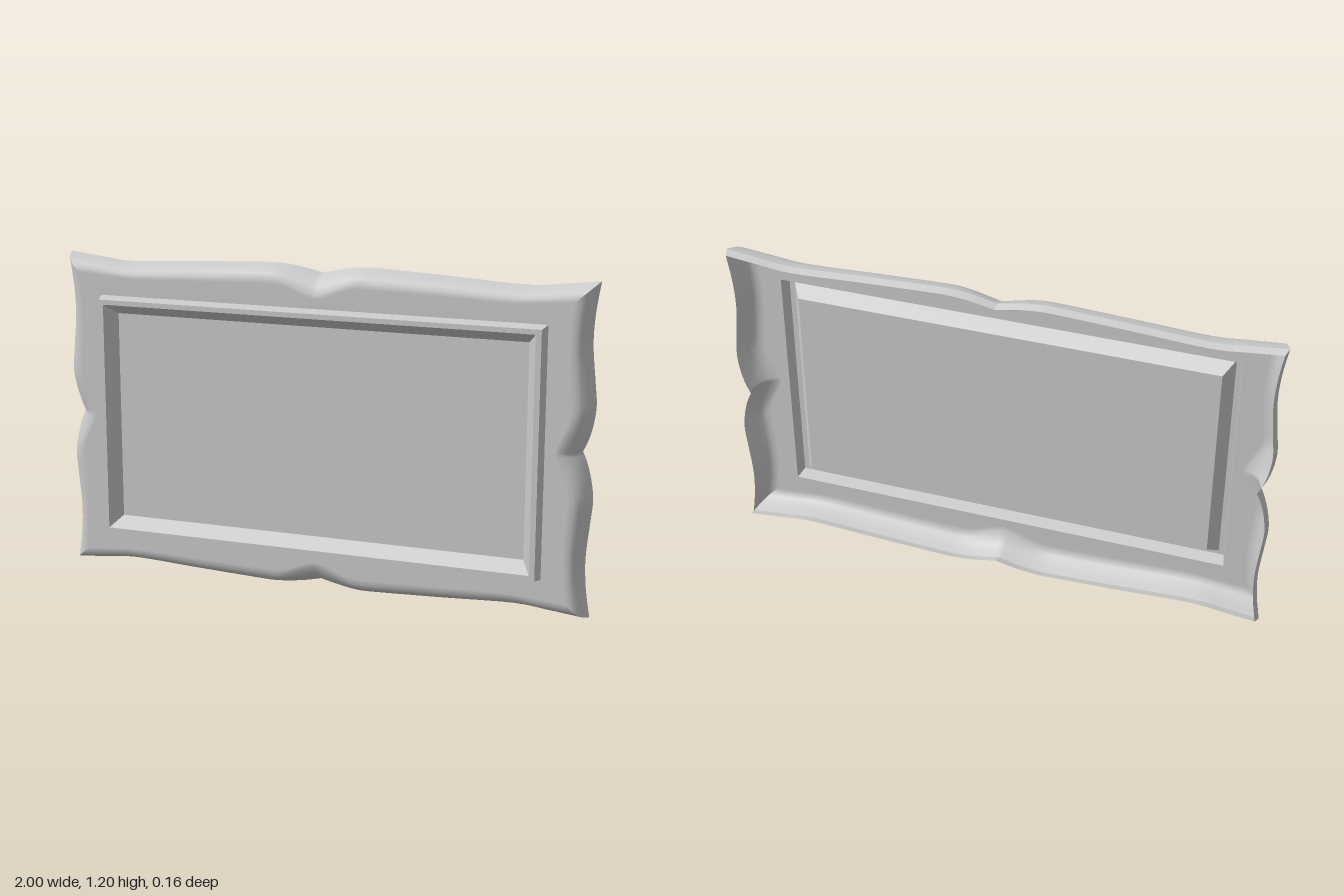
import * as THREE from 'three';

const CENTRE_Y = 0.598;
const smooth = new THREE.MeshStandardMaterial({ color: 0xcccccc, side: THREE.DoubleSide });
const flat = new THREE.MeshStandardMaterial({ color: 0xcccccc, side: THREE.DoubleSide, flatShading: true });

// Scalloped edge, from the middle notch out to the corner: [along, outward]
const LONG_EDGE = [[0, 0.57], [0.08, 0.588], [0.16, 0.597], [0.24, 0.596], [0.5, 0.584], [0.75, 0.571], [0.88, 0.583], [1, 0.597]];
const SHORT_EDGE = [[0, 0.955], [0.045, 0.975], [0.1, 0.99], [0.17, 0.998], [0.25, 0.991], [0.38, 0.979], [0.49, 0.984], [0.597, 1]];

// Full edge from one corner to the other, notch in the middle
function fullEdge(points) {
  const half = new THREE.SplineCurve(points.map(p => new THREE.Vector2(...p))).getPoints(28);
  const mirrored = half.slice(1).reverse().map(p => new THREE.Vector2(-p.x, p.y));
  return [...mirrored, ...half];
}

// Turns (along, outward) into x, y for the top, right, bottom and left sides
const turn = [
  (a, o) => [a, o],
  (a, o) => [o, -a],
  (a, o) => [-a, -o],
  (a, o) => [-o, a],
];

// Surface through rows of [along, outward, z] points
function surface(rows, side) {
  const n = rows[0].length, pos = [], index = [];
  for (const row of rows) for (const [a, o, z] of row) pos.push(...turn[side](a, o), z);
  for (let j = 0; j < rows.length - 1; j++) {
    for (let i = 0; i < n - 1; i++) {
      const p = j * n + i;
      index.push(p, p + n, p + 1, p + 1, p + n, p + n + 1);
    }
  }
  const geo = new THREE.BufferGeometry();
  geo.setAttribute('position', new THREE.Float32BufferAttribute(pos, 3));
  geo.setIndex(index);
  geo.computeVertexNormals();
  return geo;
}

function add(parent, name, geo, material) {
  const mesh = new THREE.Mesh(geo, material);
  mesh.name = name;
  parent.add(mesh);
  return mesh;
}

export function createModel() {
  const model = new THREE.Group();
  model.name = 'pictureFrame';
  const body = new THREE.Group();
  body.name = 'frameBody';
  body.position.y = CENTRE_Y;
  model.add(body);

  // Moulding profile: share of the way to the inner lip, depth, extra pull at the notch
  const faceProfile = [[0, -0.05, 0], [0.05, -0.024, 0.02], [0.11, 0.001, 0.07], [0.2, 0.019, 0.16], [0.31, 0.03, 0.27], [0.45, 0.031, 0.25], [1, 0.03, 0]];
  const rimProfile = [[0.06, -0.08, 0], [0, -0.05, 0]];
  // Raised lip: half width, half height, z
  const lipProfile = [[0.84, 0.452, 0.03], [0.83, 0.443, 0.08], [0.81, 0.425, 0.08], [0.775, 0.387, 0.025]];

  for (let side = 0; side < 4; side++) {
    const long = side % 2 === 0;
    const edge = fullEdge(long ? LONG_EDGE : SHORT_EDGE);
    const [innerA, innerO] = long ? [0.84, 0.452] : [0.452, 0.84];
    const end = edge[edge.length - 1].x;

    const sweep = (profile, points) => profile.map(([t, z, pull]) => points.map(p => {
      const notch = Math.max(0, 1 - Math.abs(p.x) / 0.17);
      const s = t + pull * notch * notch * (3 - 2 * notch);
      return [
        THREE.MathUtils.lerp(p.x, p.x / end * innerA, s),
        THREE.MathUtils.lerp(p.y, innerO, s),
        z,
      ];
    }));

    // Curved moulding, hollow behind
    add(body, 'moulding', surface(sweep(faceProfile, edge), side), smooth);

    // Back rim in two halves, creased at the notch
    const mid = (edge.length - 1) / 2;
    for (const part of [edge.slice(0, mid + 1), edge.slice(mid)]) {
      add(body, 'rim', surface(sweep(rimProfile, part), side), smooth);
    }

    // Raised lip with sloping inner wall
    const lip = lipProfile.map(([w, h, z]) => {
      const [a, o] = long ? [w, h] : [h, w];
      return [[-a, o, z], [a, o, z]];
    });
    add(body, 'innerLip', surface(lip, side).toNonIndexed(), flat);
  }

  // Flat panel
  add(body, 'panel', new THREE.PlaneGeometry(1.55, 0.774), flat).position.z = 0.025;

  return model;
}
